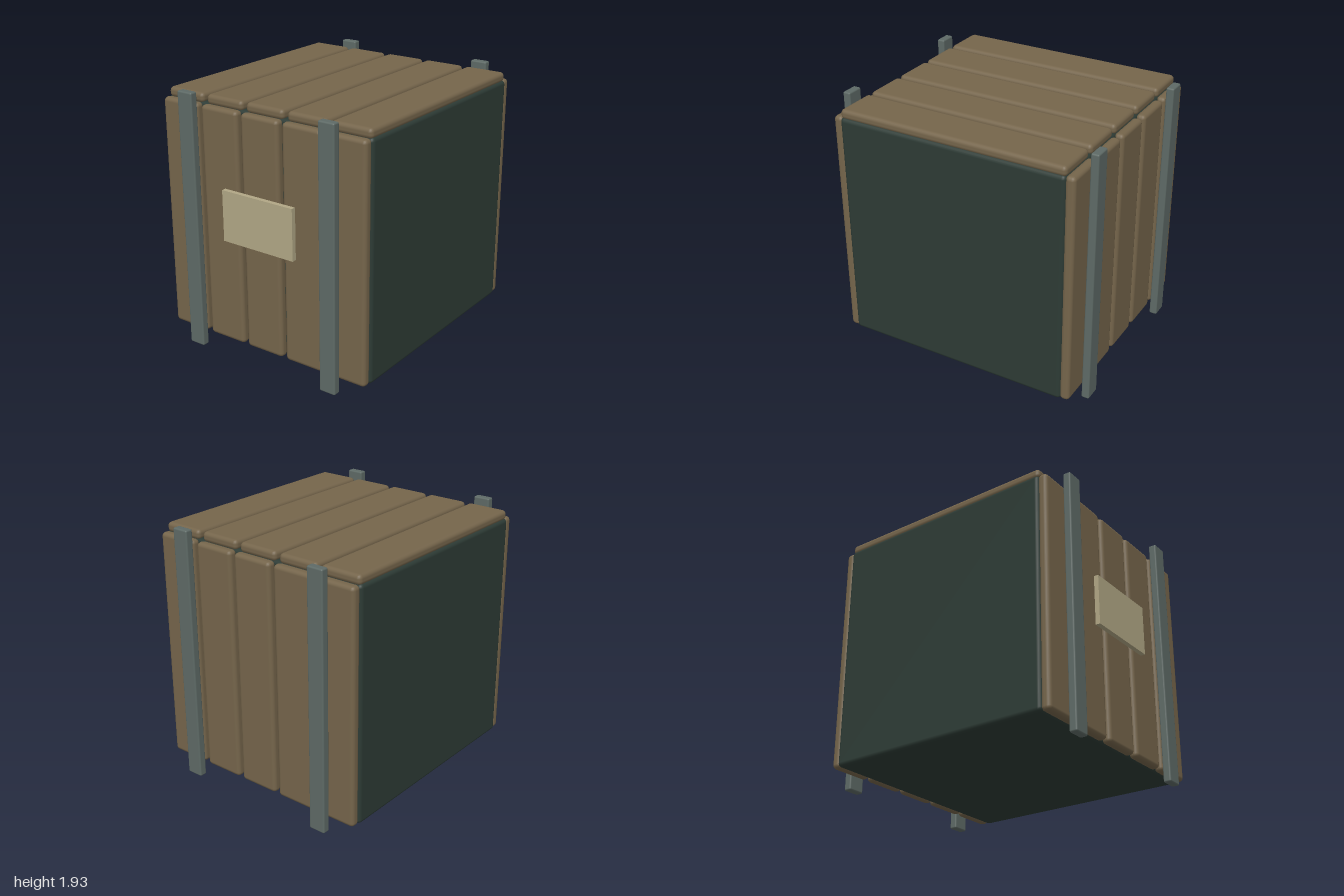
import * as THREE from 'three';
import { RoundedBoxGeometry } from 'three/addons/geometries/RoundedBoxGeometry.js';

function material(name, color) {
  const m = new THREE.MeshStandardMaterial({ color });
  m.name = name;
  return m;
}

export function createModel() {
  const group = new THREE.Group();
  const wood = material('brown wood', 0x75654b);
  const green = material('dark green', 0x2d3b35);
  const metal = material('grey metal', 0x5e6a66);
  const cream = material('cream label', 0xb1a785);

  // Rounded box given by its size and centre
  function block(name, mat, [w, h, d], [x, y, z], radius) {
    const mesh = new THREE.Mesh(new RoundedBoxGeometry(w, h, d, 2, radius), mat);
    mesh.name = name;
    mesh.position.set(x, y, z);
    group.add(mesh);
  }

  // Crate body
  block('body', green, [1.75, 1.75, 1.75], [0, 0.97, 0], 0.03);

  // Five planks on the top, front and back
  for (let i = -2; i <= 2; i++) {
    const x = i * 0.352;
    block('topPlank', wood, [0.322, 0.075, 1.75], [x, 1.868, 0], 0.03);
    for (const s of [1, -1]) {
      block(s > 0 ? 'frontPlank' : 'backPlank', wood, [0.322, 1.75, 0.075], [x, 0.97, s * 0.9], 0.03);
    }
  }

  // Upright straps, two on the front and two on the back
  for (const x of [0.6, -0.6]) {
    for (const s of [1, -1]) {
      block(s > 0 ? 'frontStrap' : 'backStrap', metal, [0.13, 1.935, 0.06], [x, 0.9675, s * 0.97], 0.012);
    }
  }

  // Blank label plate
  const label = new THREE.Mesh(new THREE.BoxGeometry(0.61, 0.38, 0.035), cream);
  label.name = 'labelPlate';
  label.position.set(0, 1.09, 0.962);
  group.add(label);

  return group;
}
